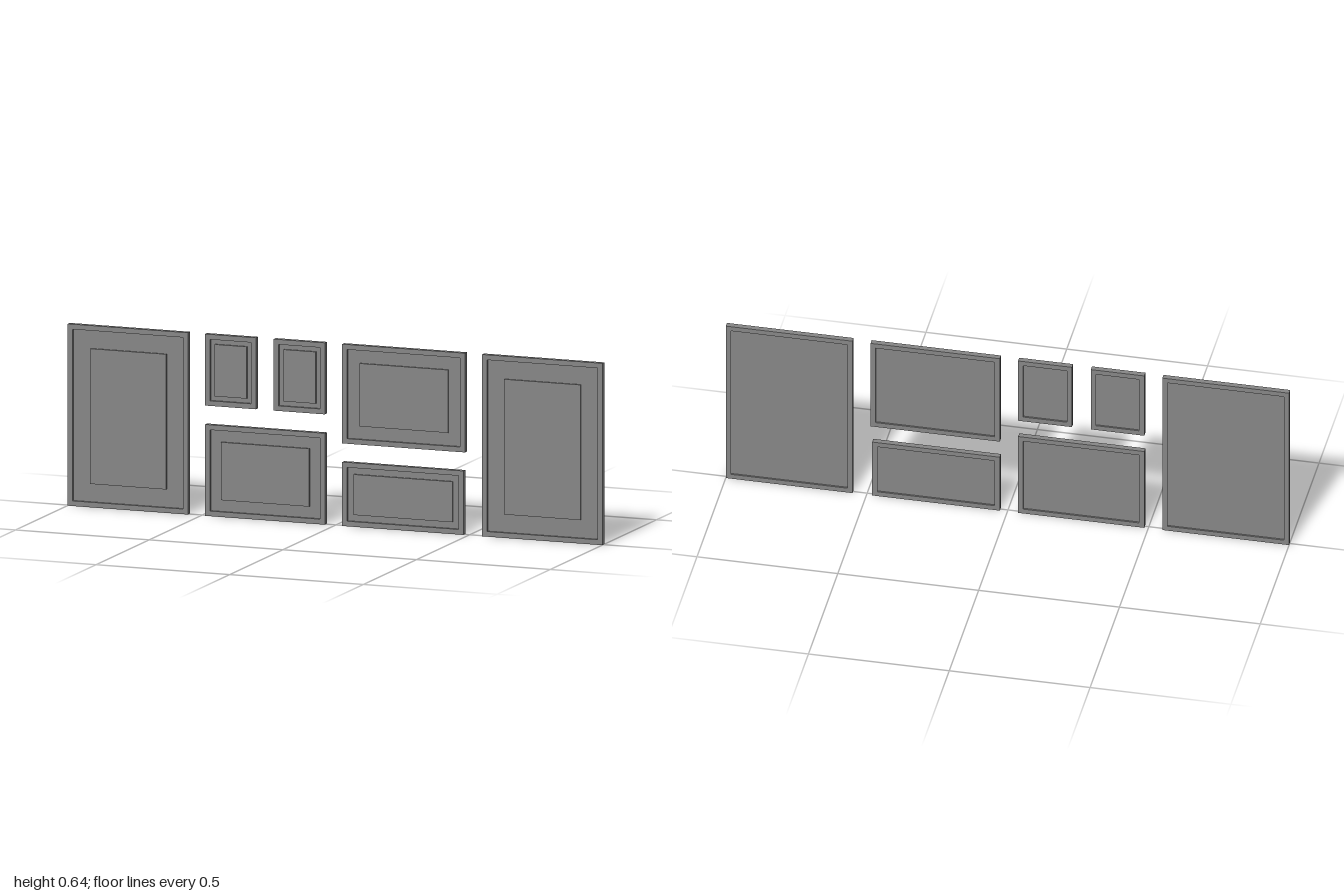
import * as THREE from 'three';

const material = new THREE.MeshStandardMaterial({ color: 0x868686, flatShading: true });

const DEPTH = 0.02;   // frame thickness, front to back
const BORDER = 0.018; // width of the frame moulding

// x0, x1, y0, y1 of each frame on the wall
const layout = {
  rightTallFrame: [-1, -0.55, 0, 0.643],
  rightSmallFrame: [-0.486, -0.296, 0.39, 0.643],
  centreSmallFrame: [-0.229, -0.038, 0.39, 0.643],
  rightLowFrame: [-0.486, -0.038, 0, 0.323],
  leftUpperFrame: [0.027, 0.486, 0.292, 0.643],
  leftLowFrame: [0.027, 0.48, 0, 0.226],
  leftTallFrame: [0.55, 1, 0, 0.643],
};

function rectangle(path, w, h) {
  path.moveTo(-w / 2, -h / 2);
  path.lineTo(w / 2, -h / 2);
  path.lineTo(w / 2, h / 2);
  path.lineTo(-w / 2, h / 2);
  path.closePath();
  return path;
}

function addPart(group, name, geometry) {
  const mesh = new THREE.Mesh(geometry, material);
  mesh.name = name;
  group.add(mesh);
}

function makePictureFrame(w, h) {
  const group = new THREE.Group();
  const innerW = w - 2 * BORDER, innerH = h - 2 * BORDER;

  // open moulding around the edge
  const shape = rectangle(new THREE.Shape(), w, h);
  shape.holes.push(rectangle(new THREE.Path(), innerW, innerH));
  const moulding = new THREE.ExtrudeGeometry(shape, { depth: DEPTH, bevelEnabled: false });
  addPart(group, 'moulding', moulding.translate(0, 0, -DEPTH / 2));

  // mount board, recessed from both faces
  addPart(group, 'mountBoard', new THREE.BoxGeometry(innerW, innerH, 0.005).translate(0, 0, -0.0015));

  // raised picture, its margin in proportion to the short side
  const margin = 0.183 * Math.min(w, h);
  const picture = new THREE.BoxGeometry(w - 2 * margin, h - 2 * margin, 0.008);
  addPart(group, 'picture', picture.translate(0, 0, 0.004));
  return group;
}

export function createModel() {
  const model = new THREE.Group();
  model.name = 'pictureFrameSet';
  for (const [name, [x0, x1, y0, y1]] of Object.entries(layout)) {
    const frame = makePictureFrame(x1 - x0, y1 - y0);
    frame.name = name;
    frame.position.set((x0 + x1) / 2, (y0 + y1) / 2, 0);
    model.add(frame);
  }
  return model;
}
